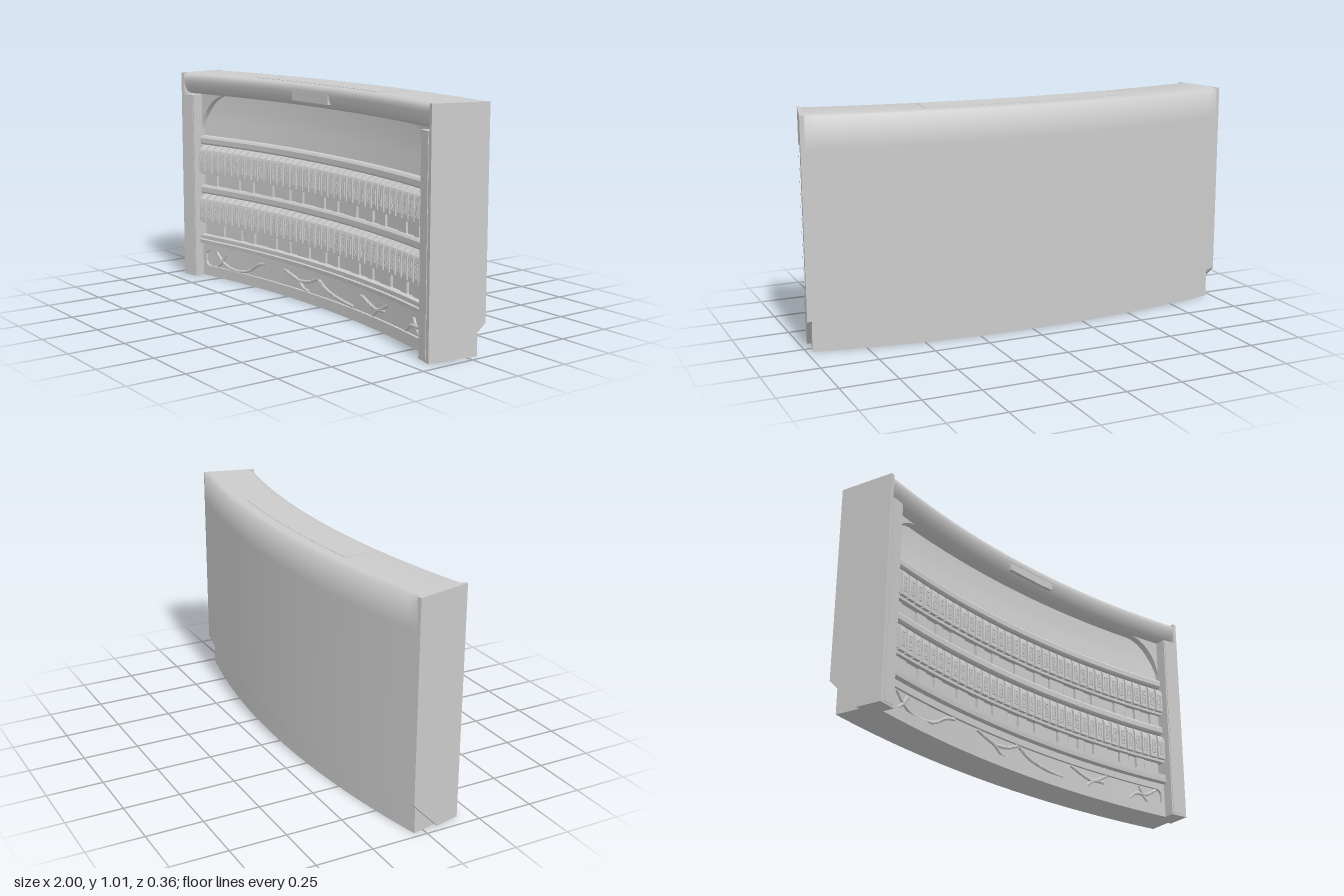
import * as THREE from 'three';
import { toCreasedNormals } from 'three/addons/utils/BufferGeometryUtils.js';

const CZ = 4.225;   // z of the arc's centre
const RU = 4.155;   // radius at which widths are measured

// Wraps straight geometry (x along the width, z depth) round the arc.
function bend(geometry, crease = 0.5) {
  const p = geometry.attributes.position;
  for (let i = 0; i < p.count; i++) {
    const a = p.getX(i) / RU, r = CZ - p.getZ(i);
    p.setXYZ(i, r * Math.sin(a), p.getY(i), CZ - r * Math.cos(a));
  }
  return toCreasedNormals(geometry, crease);
}

// Sweeps a [z, y] outline along the arc from u0 to u1.
function sweep(outline, u0, u1, { steps = 1, crease = 0.5, hole = null } = {}) {
  const toVec = ([z, y]) => new THREE.Vector2(-z, y);
  const shape = new THREE.Shape(outline.map(toVec));
  if (hole) shape.holes.push(new THREE.Path(hole.map(toVec)));
  const g = new THREE.ExtrudeGeometry(shape, { depth: u1 - u0, steps, bevelEnabled: false });
  g.rotateY(Math.PI / 2);
  g.translate(u0, 0, 0);
  return bend(g, crease);
}

function bentBox(u, y0, y1, z0, z1, width, segments = 1) {
  const g = new THREE.BoxGeometry(width, y1 - y0, z1 - z0, segments, 1, 1);
  g.translate(u, (y0 + y1) / 2, (z0 + z1) / 2);
  return bend(g);
}

// Fills a corner, leaving a concave quarter ellipse. sx, sy point to the corner.
function cornerFill(u, y, rx, ry, sx, sy, z0, z1) {
  const pts = [new THREE.Vector2(u, y)];
  for (let i = 0; i <= 14; i++) {
    const a = (i / 14) * Math.PI / 2;
    pts.push(new THREE.Vector2(u - sx * rx * (1 - Math.cos(a)), y - sy * ry * (1 - Math.sin(a))));
  }
  const g = new THREE.ExtrudeGeometry(new THREE.Shape(pts), { depth: z1 - z0, bevelEnabled: false });
  g.translate(0, 0, z0);
  return bend(g);
}

export function createModel() {
  const model = new THREE.Group();
  const material = new THREE.MeshStandardMaterial({ color: 0xcccccc });
  const add = (name, geometry, parent = model) => {
    const mesh = new THREE.Mesh(geometry, material);
    mesh.name = name;
    parent.add(mesh);
  };
  const rows = [0, 0.245];

  // Cabinet: plinth, lower panel, shelves, rails and upper panel
  const front = [
    [0.02, 0], [0.02, 0.05], [0.008, 0.05], [0.008, 0.13], [0.02, 0.13], [0.02, 0.16],
    [0.04, 0.165], [0.042, 0.183], [0.034, 0.187], [0.034, 0.205], [-0.03, 0.21],
  ];
  for (const y of rows) {
    front.push(
      [-0.03, y + 0.268], [0.028, y + 0.268], [0.028, y + 0.282], [-0.03, y + 0.282],
      [-0.03, y + 0.412], [0.022, y + 0.414], [0.028, y + 0.422], [0.028, y + 0.445], [0.02, y + 0.455],
    );
    if (y === 0) front.push([-0.03, 0.456]);
  }
  const cabinet = [
    ...front,
    [0.002, 0.703], [-0.008, 0.77], [-0.017, 0.83], [-0.019, 0.908],
    [-0.1, 0.908], [-0.1, 0.89], [-0.18, 0.87],
    [-0.18, 0.14], [-0.155, 0.135], [-0.155, 0],
  ];
  add('cabinet', sweep(cabinet, -0.933, 0.933, { steps: 40 }));

  // Softly shaded header with a curved underside, running over the posts
  const header = [
    [-0.019, 0.906], [0.02, 0.907], [0.045, 0.92], [0.062, 0.944], [0.07, 0.972], [0.07, 0.99],
    [0.063, 1.003], [0.045, 1.01], [-0.15, 1.01], [-0.18, 1.006], [-0.18, 0.87], [-0.1, 0.89], [-0.1, 0.906],
  ];
  add('header', sweep(header, -0.933, 0.933, { steps: 40, crease: 1.5 }));

  // Flush hatch on the top
  add('topHatch', bentBox(0, 1.0, 1.0115, -0.11, 0.03, 0.9, 20));

  // Small plate on the header
  const plate = new THREE.Group();
  plate.name = 'headerPlate';
  model.add(plate);
  add('plateFace', bentBox(0, 0.932, 0.975, 0.03, 0.072, 0.27, 6), plate);
  add('plateLip', bentBox(0, 0.968, 0.974, 0.06, 0.074, 0.28, 6), plate);

  // Side posts, end plates with a shallow recess, and rounded infill corners
  const post = [[0.07, 0], [0.07, 0.905], [-0.15, 0.905], [-0.15, 0]];
  const end = [[0.07, 0], [0.07, 1.01], [-0.18, 1.01], [-0.18, 0.14], [-0.043, 0]];
  const recess = [[0.05, 0.2], [0.057, 0.215], [0.057, 0.85], [0.045, 0.87],
    [-0.145, 0.87], [-0.165, 0.84], [-0.165, 0.22], [-0.155, 0.2]];
  for (const s of [-1, 1]) {
    const span = (a, b) => (s > 0 ? [a, b] : [-b, -a]);
    add('sidePost', sweep(post, ...span(0.867, 0.933), { steps: 2 }));
    add('endPlate', sweep(end, ...span(0.933, 0.946)));
    add('endFrame', sweep(end, ...span(0.946, 0.951), { hole: recess }));
    add('postStrip', bentBox(s * 0.901, 0.01, 0.905, 0.06, 0.0725, 0.056));
    add('upperCorner', cornerFill(s * 0.87, 0.908, 0.18, 0.205, s, 1, -0.02, 0.015));
    add('slotEnd', bentBox(s * 0.86, 0.05, 0.13, 0, 0.02, 0.024));
    for (const sy of [-1, 1]) {
      add('slotCorner', cornerFill(s * 0.849, 0.09 + sy * 0.04, 0.03, 0.03, s, sy, 0, 0.02));
    }
  }

  // Two rows of small boxes with labels, and tags hanging under each shelf
  const count = 36, pitch = 1.734 / count;
  for (const y of rows) {
    const row = new THREE.Group();
    row.name = 'boxRow';
    model.add(row);
    const box = [[-0.032, y + 0.28], [0.044, y + 0.28], [0.044, y + 0.375],
      [0.038, y + 0.39], [0.012, y + 0.408], [-0.032, y + 0.408]];
    for (let i = 0; i < count; i++) {
      const u = -0.867 + (i + 0.5) * pitch;
      add('box', sweep(box, u - 0.019, u + 0.019), row);
      for (const s of [-1, 1]) {
        const edge = y + 0.331 + s * 0.03, mark = y + 0.331 + s * 0.012;
        add('labelSide', bentBox(u + s * 0.009, y + 0.299, y + 0.363, 0.042, 0.048, 0.004), row);
        add('labelEdge', bentBox(u, edge - 0.002, edge + 0.002, 0.042, 0.048, 0.02), row);
        add('labelMark', bentBox(u + s * 0.002, mark - 0.007, mark + 0.007, 0.042, 0.048, 0.007), row);
      }
    }
    for (let i = 0, u = -0.862; u < 0.83; i++) {
      const w = [0.045, 0.062, 0.038, 0.085, 0.05][(i * 3 + (y ? 2 : 0)) % 5];
      const width = Math.min(w, 0.862 - u);
      add('shelfTag', bentBox(u + width / 2, y + 0.207, y + 0.27, -0.035, 0.004 + 0.006 * (i % 2), width), row);
      u += width + 0.007;
    }
  }

  // Winding branches in the lower slot
  const branches = [
    [[-0.78, 0.125], [-0.74, 0.085], [-0.69, 0.06], [-0.6, 0.055], [-0.53, 0.075], [-0.47, 0.112], [-0.42, 0.125]],
    [[-0.77, 0.055], [-0.74, 0.08], [-0.71, 0.12]],
    [[-0.28, 0.125], [-0.22, 0.105], [-0.17, 0.09], [-0.13, 0.06], [-0.09, 0.052]],
    [[-0.17, 0.09], [-0.09, 0.1], [-0.03, 0.125]],
    [[-0.02, 0.125], [0.04, 0.09], [0.12, 0.07], [0.25, 0.056]],
    [[0.3, 0.125], [0.37, 0.1], [0.43, 0.085], [0.52, 0.125]],
    [[0.4, 0.055], [0.44, 0.085], [0.5, 0.09]],
    [[0.66, 0.055], [0.7, 0.085], [0.76, 0.09], [0.82, 0.125]],
    [[0.72, 0.125], [0.74, 0.09], [0.77, 0.055]],
  ];
  for (const points of branches) {
    const curve = new THREE.CatmullRomCurve3(points.map(([x, y]) => new THREE.Vector3(x, y, 0.01)));
    add('branch', bend(new THREE.TubeGeometry(curve, 20, 0.008, 6), 1.2));
  }
  return model;
}
